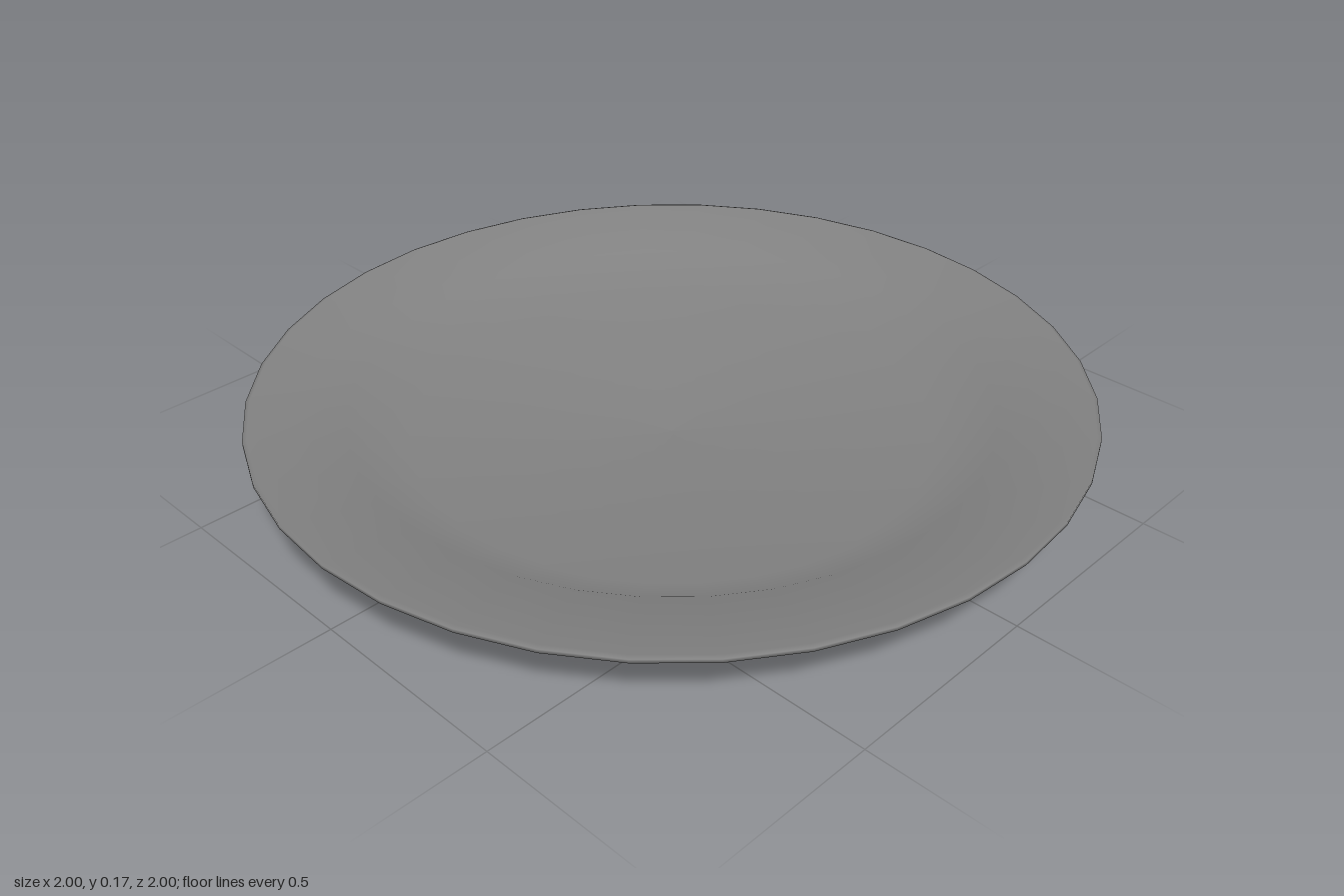
import * as THREE from 'three';

const SIDES = 36;

// Revolve a smooth profile of [radius, height] pairs about the y axis
function turned(name, profile, material) {
  const points = profile.map(([r, y]) => new THREE.Vector2(r, y));
  const mesh = new THREE.Mesh(new THREE.LatheGeometry(points, SIDES), material);
  mesh.name = name;
  return mesh;
}

export function createModel() {
  const group = new THREE.Group();
  group.name = 'plate';
  const material = new THREE.MeshStandardMaterial({ color: 0x828282 });

  // Dish: foot, underside, rolled lip, then the eating surface back to the centre
  group.add(turned('dish', [
    [0.435, 0], [0.475, 0], [0.637, 0.021], [0.757, 0.105],
    [0.99, 0.155], [1, 0.158], [1, 0.167], [0.99, 0.17],
    [0.77, 0.13], [0.63, 0.054], [0, 0.025],
  ], material));

  // Shallow recess inside the foot, kept separate for sharp edges
  group.add(turned('recessWall', [[0.435, 0.012], [0.435, 0]], material));
  group.add(turned('recessFloor', [[0, 0.012], [0.435, 0.012]], material));

  return group;
}
